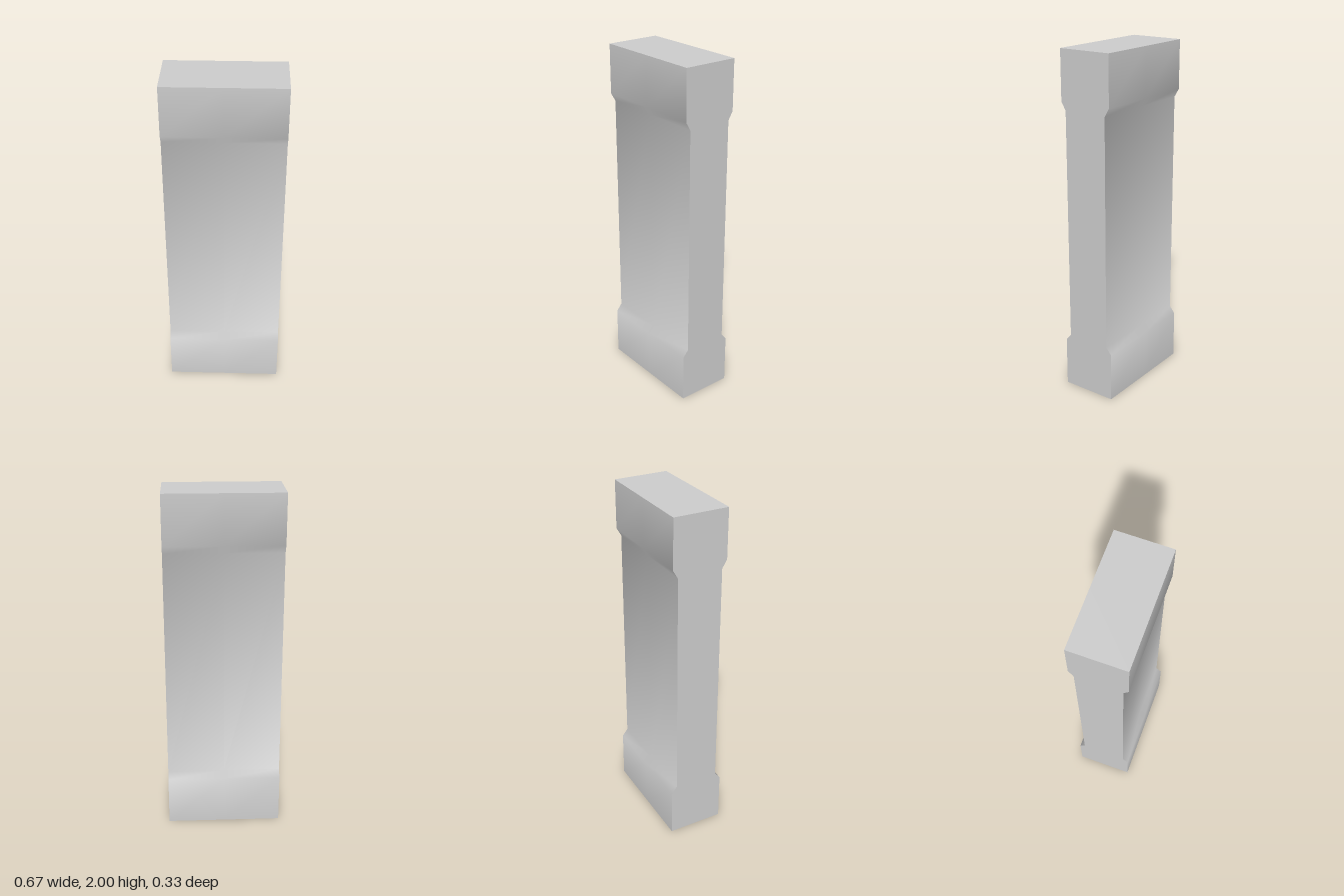
import * as THREE from 'three';
import { toCreasedNormals } from 'three/addons/utils/BufferGeometryUtils.js';

export function createModel() {
  const group = new THREE.Group();
  group.name = 'pillar';
  const width = 0.666;

  // Half profile as [half depth, height]: plinth, waist, head
  const half = [[0.164, 0], [0.164, 0.29], [0.131, 0.33], [0.131, 1.67], [0.159, 1.717], [0.159, 2]];
  const points = [
    ...half.map(([d, y]) => new THREE.Vector2(d, y)),
    ...half.slice().reverse().map(([d, y]) => new THREE.Vector2(-d, y)),
  ];

  // Sweep the profile across the width, with a centre column on the faces
  const extruded = new THREE.ExtrudeGeometry(new THREE.Shape(points), {
    depth: width, steps: 2, bevelEnabled: false,
  });
  extruded.translate(0, 0, -width / 2);
  extruded.rotateY(Math.PI / 2);

  // Soft shoulders, sharp outer edges
  const geometry = toCreasedNormals(extruded, Math.PI / 3);
  const body = new THREE.Mesh(geometry, new THREE.MeshStandardMaterial({ color: 0xcccccc }));
  body.name = 'pillarBody';
  group.add(body);
  return group;
}
